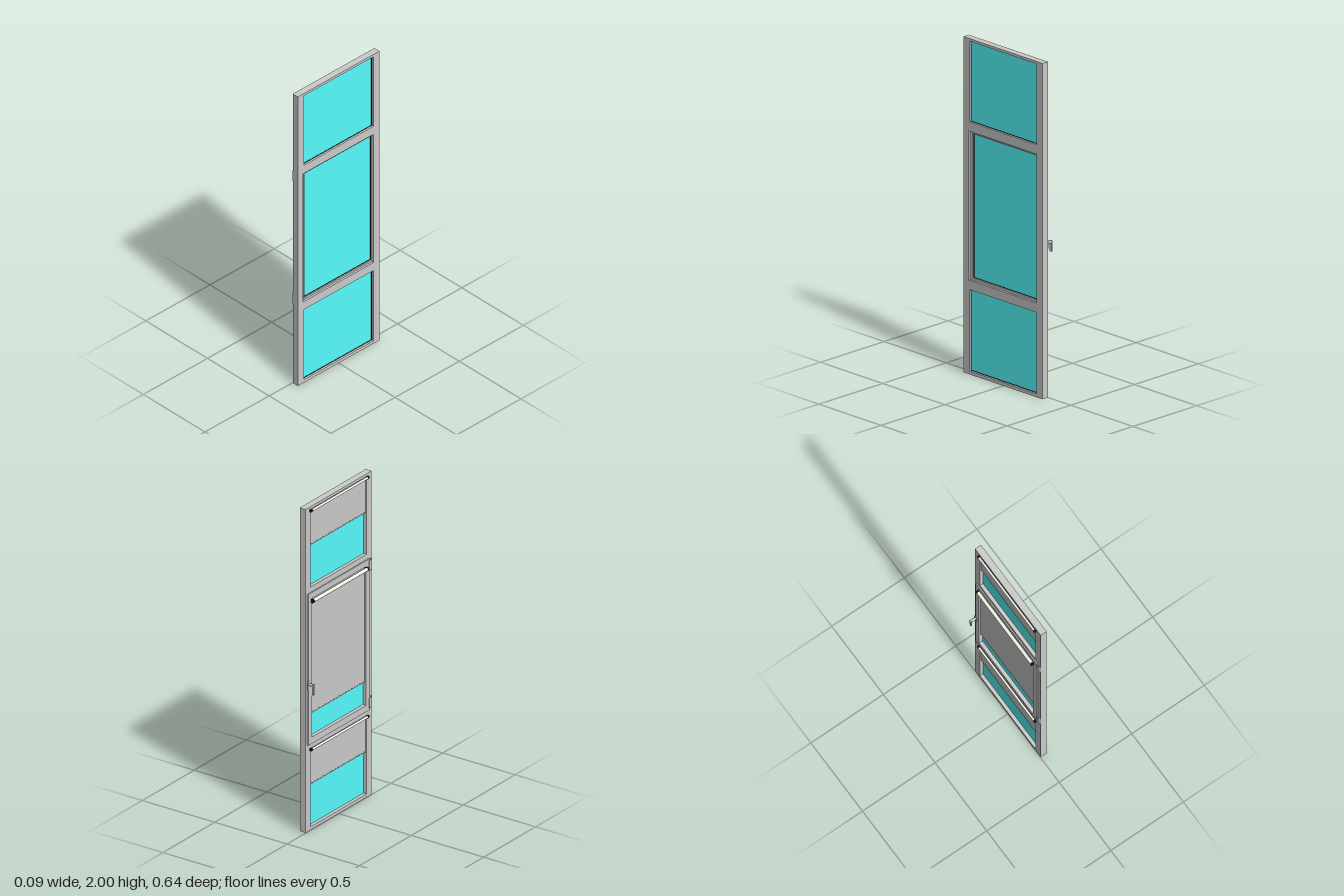
import * as THREE from 'three';

const mat = (color) => new THREE.MeshStandardMaterial({ color });
const grey = mat(0xcccccc);
const glassMat = mat(0x57fdff);
const black = mat(0x111111);
const cream = mat(0xf4f8e6);

// Rectangles are [zMin, zMax, yMin, yMax]
function trace(path, [z0, z1, y0, y1]) {
  path.moveTo(-z1, y0);
  path.lineTo(-z0, y0);
  path.lineTo(-z0, y1);
  path.lineTo(-z1, y1);
  path.closePath();
  return path;
}

export function createModel() {
  const root = new THREE.Group();
  root.name = 'windowUnit';

  const add = (parent, name, geo, material, x = 0, y = 0, z = 0) => {
    const m = new THREE.Mesh(geo, material);
    m.name = name;
    m.position.set(x, y, z);
    parent.add(m);
    return m;
  };
  const box = (parent, name, material, x0, x1, y0, y1, z0, z1) =>
    add(parent, name, new THREE.BoxGeometry(x1 - x0, y1 - y0, z1 - z0), material,
      (x0 + x1) / 2, (y0 + y1) / 2, (z0 + z1) / 2);
  // Flat frame with rectangular openings, spanning x0..x1
  const frame = (parent, name, material, x0, x1, outer, holes) => {
    const shape = trace(new THREE.Shape(), outer);
    for (const h of holes) shape.holes.push(trace(new THREE.Path(), h));
    const geo = new THREE.ExtrudeGeometry(shape, { depth: x1 - x0, bevelEnabled: false });
    geo.rotateY(Math.PI / 2);
    return add(parent, name, geo, material, x0);
  };
  const rod = (parent, name, material, r, x, y, z0, z1, sides = 20) => {
    const geo = new THREE.CylinderGeometry(r, r, z1 - z0, sides);
    geo.rotateX(Math.PI / 2);
    return add(parent, name, geo, material, x, y, (z0 + z1) / 2);
  };

  const topPane = [-0.27, 0.27, 1.503, 1.984];
  const lowPane = [-0.27, 0.27, 0.02, 0.505];
  const opening = [-0.27, 0.278, 0.56, 1.447];
  const sashPane = [-0.268, 0.255, 0.575, 1.434];
  const sashOuter = [-0.303, 0.291, 0.535, 1.47];
  const grow = ([a, b, c, d], g) => [a - g, b + g, c - g, d + g];

  // Outer frame: outside face layer, and inside layer rebated for the sash
  const rim = [-0.318, 0.318, 0, 2];
  frame(root, 'outerFrame', grey, 0.03, 0.043, rim, [topPane, opening, lowPane]);
  frame(root, 'outerFrameInside', grey, 0.002, 0.03, rim,
    [topPane, [-0.285, 0.285, 0.55, 1.455], lowPane]);

  // Opening sash with an overlapping lip on the room side
  const sash = new THREE.Group();
  sash.name = 'sash';
  root.add(sash);
  frame(sash, 'sashBody', grey, 0.002, 0.029, [-0.281, 0.281, 0.554, 1.451], [sashPane]);
  frame(sash, 'sashLip', grey, -0.005, 0.002, sashOuter, [sashPane]);
  frame(sash, 'sashBead', grey, 0.029, 0.033, grow(sashPane, 0.006), [sashPane]);

  // Glass, gasket and roller blind for each pane
  const panes = [
    { name: 'top', pane: topPane, glassX: 0.026, blindX: 0.008, end: 1.76, rollX: -0.006, r: 0.007, rollY: 1.978 },
    { name: 'middle', pane: sashPane, glassX: 0.02, blindX: 0.004, end: 0.72, rollX: -0.013, r: 0.0105, rollY: 1.42 },
    { name: 'bottom', pane: lowPane, glassX: 0.026, blindX: 0.008, end: 0.28, rollX: -0.006, r: 0.007, rollY: 0.5 },
  ];
  for (const p of panes) {
    const [z0, z1, y0, y1] = p.pane;
    const g = new THREE.Group();
    g.name = p.name + 'Pane';
    root.add(g);
    box(g, 'glass', glassMat, p.glassX - 0.003, p.glassX + 0.003, y0, y1, z0, z1);
    frame(g, 'gasket', black, p.glassX + 0.003, p.glassX + 0.005, p.pane, [grow(p.pane, -0.003)]);
    box(g, 'blindFabric', grey, p.blindX - 0.001, p.blindX + 0.001, p.end, y1, z0 + 0.003, z1 - 0.003);
    box(g, 'blindBottomBar', grey, p.blindX - 0.002, p.blindX + 0.002, p.end, p.end + 0.006, z0 + 0.003, z1 - 0.003);
    rod(g, 'blindRoller', cream, p.r, p.rollX, p.rollY, z0, z1);
    // Brackets at both ends of the roller
    for (const [a, b] of [[z0 - 0.009, z0 + 0.003], [z1 - 0.005, z1 + 0.007]]) {
      rod(g, 'rollerCap', black, p.r + 0.001, p.rollX, p.rollY, a, b);
      box(g, 'rollerBracket', black, p.rollX, 0.003, p.rollY - p.r, p.rollY + p.r, a, b);
    }
  }

  // Lever handle on the closing side
  const handle = new THREE.Group();
  handle.name = 'handle';
  root.add(handle);
  box(handle, 'handlePlate', grey, -0.009, -0.005, 0.885, 0.935, -0.312, -0.289);
  const neck = new THREE.CylinderGeometry(0.008, 0.008, 0.03, 16);
  neck.rotateZ(Math.PI / 2);
  add(handle, 'handleNeck', neck, grey, -0.024, 0.914, -0.3);
  box(handle, 'handleLever', grey, -0.044, -0.036, 0.857, 0.922, -0.308, -0.292);

  // Hinges on the opposite side
  for (const y of [0.58, 1.43]) {
    const hinge = new THREE.Group();
    hinge.name = 'hinge';
    root.add(hinge);
    add(hinge, 'hingeBarrel', new THREE.CylinderGeometry(0.006, 0.006, 0.07, 14), grey, -0.001, y, 0.309);
    box(hinge, 'hingeLeaf', grey, -0.007, -0.003, y - 0.03, y + 0.03, 0.283, 0.309);
  }
  return root;
}
